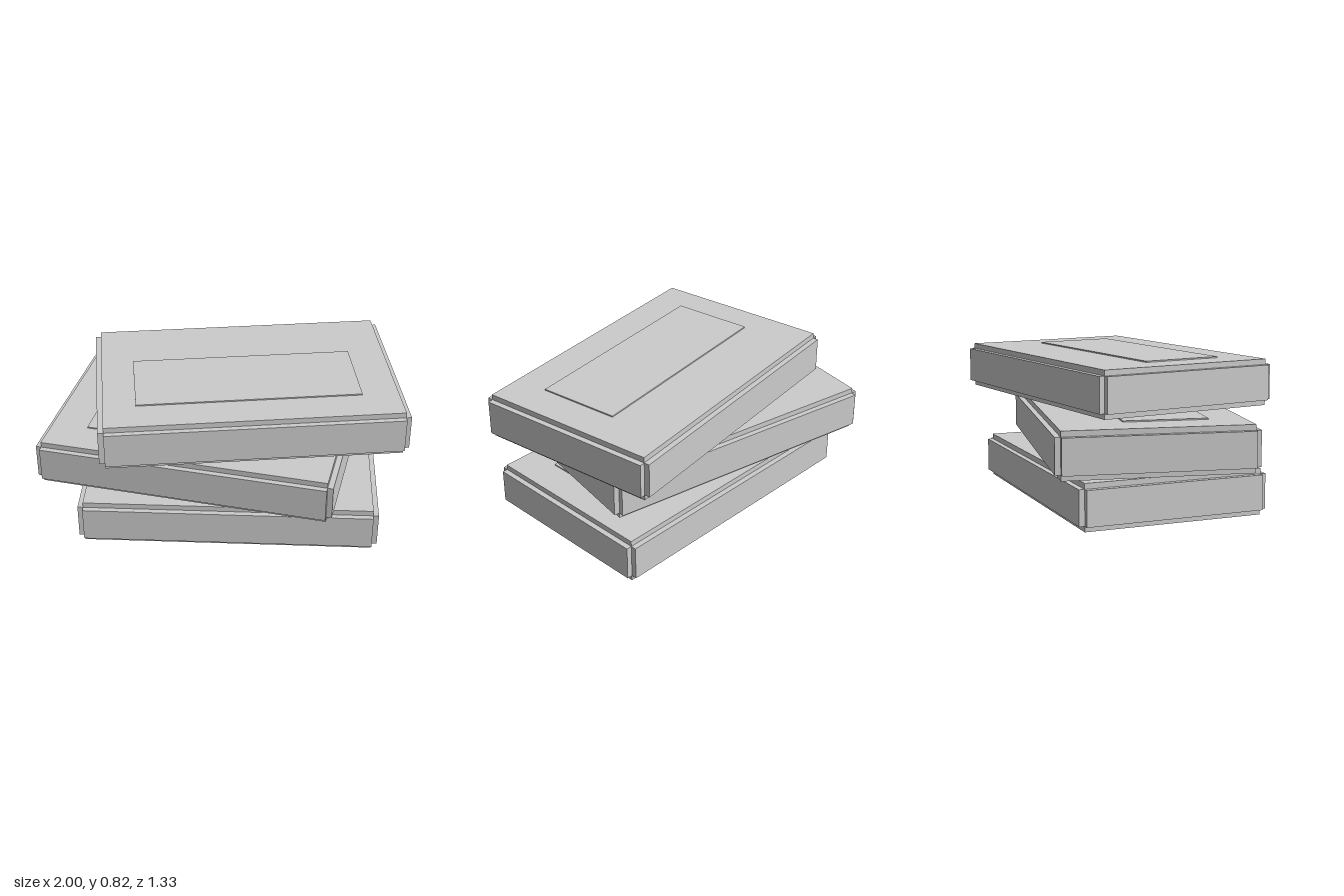
import * as THREE from 'three';

const WIDTH = 1.63, HEIGHT = 0.25, DEPTH = 1.054, STEP = 0.03;

const paleGrey = new THREE.MeshStandardMaterial({ color: 0xcccccc });
paleGrey.name = 'paleGrey';

function addBox(parent, name, w, h, d, x, y, z) {
  const mesh = new THREE.Mesh(new THREE.BoxGeometry(w, h, d), paleGrey);
  mesh.name = name;
  mesh.position.set(x, y, z);
  parent.add(mesh);
  return mesh;
}

// One slab with notched edges: three crossing boxes, each full size along one axis
function createSlab(name) {
  const slab = new THREE.Group();
  slab.name = name;
  const w = WIDTH - 2 * STEP, h = HEIGHT - 2 * STEP, d = DEPTH - 2 * STEP;
  addBox(slab, 'sideFaces', WIDTH, h, d, 0, HEIGHT / 2, 0);
  addBox(slab, 'frontAndBackFaces', w, h, DEPTH, 0, HEIGHT / 2, 0);
  addBox(slab, 'topAndBottomFaces', w, HEIGHT, d, 0, HEIGHT / 2, 0);
  return slab;
}

export function createModel() {
  const model = new THREE.Group();
  model.name = 'slabStack';

  // Floating stack of three, each turned about its own centre
  const layers = [
    { name: 'bottom', x: 0.045, y: 0, turn: 0 },
    { name: 'middle', x: -0.107, y: 0.28, turn: -11 },
    { name: 'top', x: 0.122, y: 0.56, turn: 8 },
  ];
  for (const { name, x, y, turn } of layers) {
    const angle = THREE.MathUtils.degToRad(turn);
    const slab = createSlab(name + 'Slab');
    slab.position.set(x, y, 0);
    slab.rotation.y = angle;
    model.add(slab);

    // Thin panel on the upper face, set towards the front
    const panel = addBox(model, name + 'Panel', 1.2, 0.009, 0.45, x, y + HEIGHT + 0.0025, 0.08);
    panel.rotation.y = angle;
  }
  return model;
}
